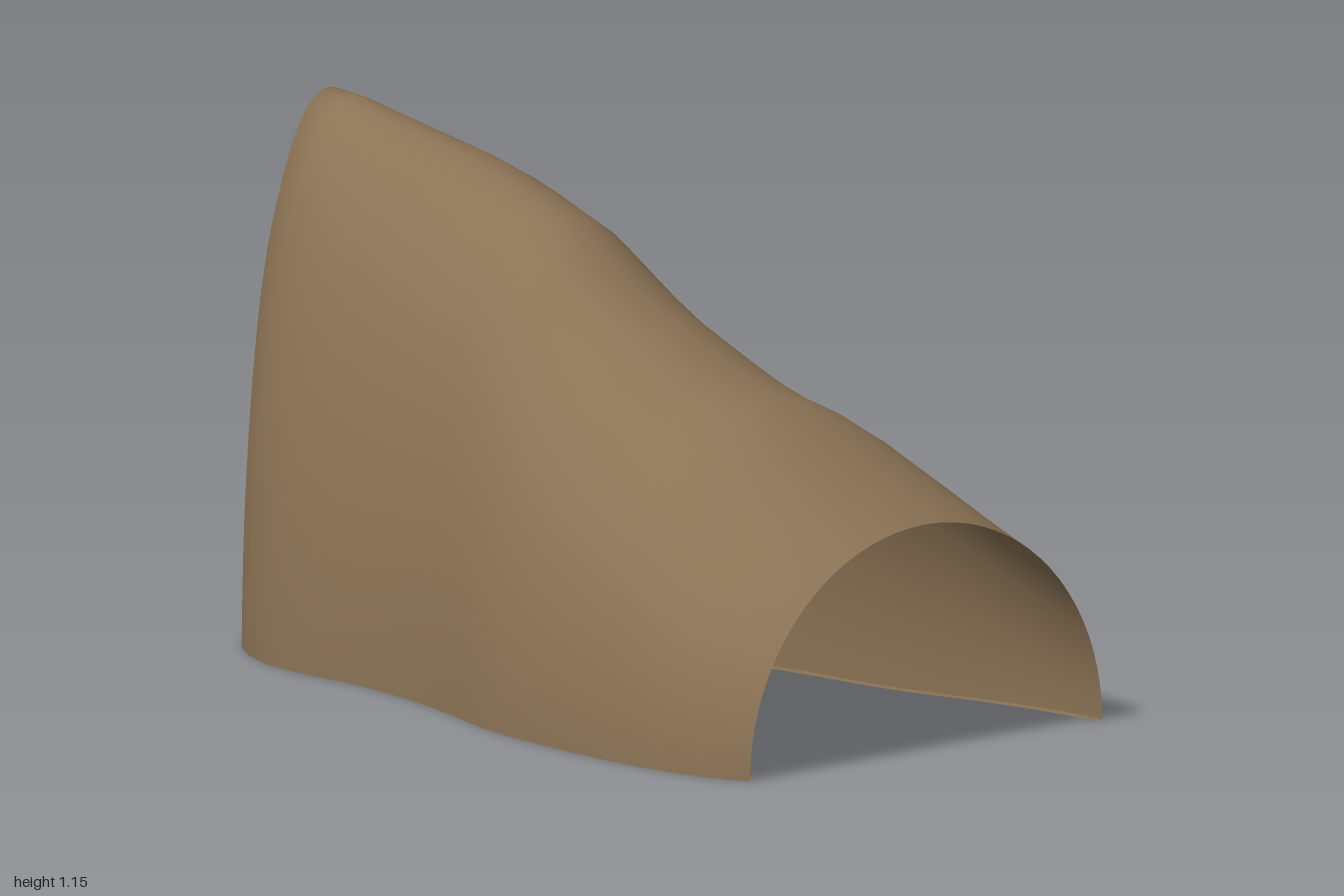
import * as THREE from 'three';

// Evenly spaced stations from the open front (z = 1) to the narrow back (z = -1)
const LEFT = [0.53, 0.533, 0.532, 0.525, 0.515, 0.5, 0.487, 0.478, 0.475, 0.476, 0.474, 0.469, 0.465,
  0.468, 0.482, 0.494, 0.494, 0.487, 0.472, 0.45, 0.422, 0.385, 0.335, 0.27, 0.13];
const RIGHT = [-0.49, -0.52, -0.532, -0.537, -0.536, -0.529, -0.52, -0.507, -0.495, -0.477, -0.455, -0.423, -0.39,
  -0.362, -0.338, -0.318, -0.304, -0.294, -0.29, -0.281, -0.262, -0.225, -0.165, -0.08, 0.065];
const HEIGHT = [0.475, 0.517, 0.56, 0.604, 0.648, 0.682, 0.702, 0.73, 0.764, 0.798, 0.832, 0.875, 0.924,
  0.97, 0.99, 1.013, 1.038, 1.06, 1.08, 1.1, 1.12, 1.14, 1.147, 1.005, 0.35];
const STATIONS = LEFT.length;
const stationZ = (i) => 1 - (2 * i) / (STATIONS - 1);

// Joins rows of points into a smooth surface
function loft(rows) {
  const n = rows[0].length;
  const index = [];
  for (let i = 0; i < rows.length - 1; i++) {
    for (let j = 0; j < n - 1; j++) {
      const a = i * n + j, b = a + n;
      index.push(a, b, a + 1, b, b + 1, a + 1);
    }
  }
  const geometry = new THREE.BufferGeometry();
  geometry.setAttribute('position', new THREE.Float32BufferAttribute(rows.flat(2), 3));
  geometry.setIndex(index);
  geometry.computeVertexNormals();
  return geometry;
}

// Half-elliptical arches, one per station
function archRows(segments) {
  return HEIGHT.map((h, i) => {
    const centre = (LEFT[i] + RIGHT[i]) / 2;
    const half = (LEFT[i] - RIGHT[i]) / 2;
    return Array.from({ length: segments + 1 }, (_, j) => {
      const t = (j / segments) * Math.PI;
      return [centre + half * Math.cos(t), h * Math.sin(t), stationZ(i)];
    });
  });
}

// Narrow flat rim turned inward along one bottom edge; side is +1 or -1 in x
function lipRows(edge, side, width) {
  return edge.map((x, i) => {
    const i0 = Math.max(i - 1, 0), i1 = Math.min(i + 1, STATIONS - 1);
    const dx = edge[i1] - edge[i0], dz = stationZ(i1) - stationZ(i0);
    const len = Math.hypot(dx, dz);
    const inner = [
      x + (side * width * dz) / len,
      0,
      THREE.MathUtils.clamp(stationZ(i) - (side * width * dx) / len, -1, 1),
    ];
    const outer = [x, 0, stationZ(i)];
    return side > 0 ? [inner, outer] : [outer, inner];
  });
}

export function createModel() {
  const model = new THREE.Group();
  model.name = 'hoodShell';
  const brown = new THREE.MeshStandardMaterial({ color: 0x8b7355, side: THREE.DoubleSide });
  brown.name = 'earthBrown';

  const add = (name, rows) => {
    const mesh = new THREE.Mesh(loft(rows), brown);
    mesh.name = name;
    model.add(mesh);
  };

  add('archedShell', archRows(40));
  add('leftBottomRim', lipRows(LEFT, 1, 0.025));
  add('rightBottomRim', lipRows(RIGHT, -1, 0.025));
  return model;
}
